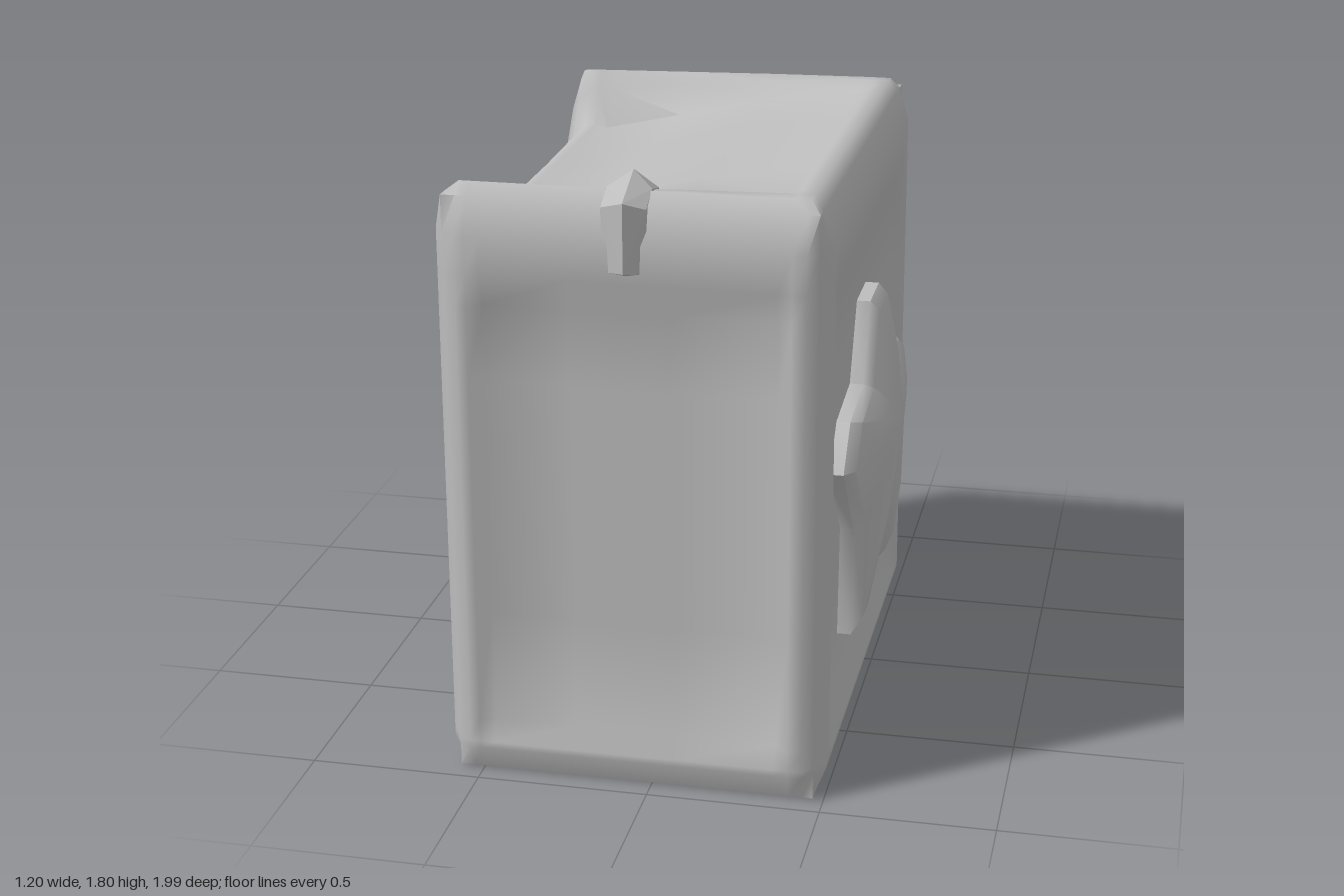
import * as THREE from 'three';
import { toCreasedNormals } from 'three/addons/utils/BufferGeometryUtils.js';
import { ConvexGeometry } from 'three/addons/geometries/ConvexGeometry.js';

const grey = new THREE.MeshStandardMaterial({ color: 0xbcbcbc });
grey.name = 'plainGrey';

function surface(positions, crease) {
  const geo = new THREE.BufferGeometry();
  geo.setAttribute('position', new THREE.Float32BufferAttribute(positions, 3));
  return toCreasedNormals(geo, crease);
}

function add(parent, name, geo) {
  const mesh = new THREE.Mesh(geo, grey);
  mesh.name = name;
  parent.add(mesh);
  return mesh;
}

// Grid lines of the box along x, y and z; the first four from each end shape the rounded frame
const LINES = [
  [-0.57, -0.53, -0.5, -0.46, -0.22, 0.07, 0.36, 0.4, 0.44, 0.47],
  [0.005, 0.08, 0.1, 0.16, 0.5, 0.9, 1.2, 1.42, 1.51, 1.62, 1.725],
  [-0.615, -0.57, -0.53, -0.46, -0.1, 0.2, 0.5, 0.79, 0.84, 0.89, 0.935],
];
const BOUNDS = [[-0.6, 0.5], [0, 1.755], [-0.645, 0.965]];

// The lid sags and slopes down towards the right side, between the front and back bars
function sag(p) {
  const across = THREE.MathUtils.clamp((0.25 - p[0]) / 0.85, 0, 1);
  const along = THREE.MathUtils.smoothstep(p[2], -0.6, -0.44)
    * (1 - THREE.MathUtils.smoothstep(p[2], 0.72, 0.88));
  const up = THREE.MathUtils.clamp((p[1] - 1.3) / 0.4, 0, 1);
  p[1] -= 0.2 * across * along * up;
  return p;
}

// One side of the box: a rounded frame around a panel set back by the recess
function boxFace(axis, sign, recess) {
  const u = (axis + 1) % 3, v = (axis + 2) % 3;
  const U = LINES[u], V = LINES[v], N = LINES[axis];
  const bound = BOUNDS[axis][sign > 0 ? 1 : 0];
  const corner = sign > 0 ? N[N.length - 1] : N[0];
  const point = (i, j) => {
    const ring = Math.min(i, j, U.length - 1 - i, V.length - 1 - j);
    const p = [0, 0, 0];
    p[u] = U[i];
    p[v] = V[j];
    p[axis] = ring === 0 ? corner : ring < 3 ? bound : bound - sign * recess;
    return sag(p);
  };
  const out = [];
  for (let i = 0; i < U.length - 1; i++) {
    for (let j = 0; j < V.length - 1; j++) {
      const a = point(i, j), b = point(i + 1, j), c = point(i + 1, j + 1), d = point(i, j + 1);
      const tris = sign > 0 ? [a, b, c, a, c, d] : [a, c, b, a, d, c];
      out.push(...tris.flat());
    }
  }
  return out;
}

function boxBody() {
  const sides = [
    [0, 1, 0.035], [0, -1, 0], [1, 1, 0.02], [1, -1, 0], [2, 1, 0.03], [2, -1, 0.035],
  ];
  return surface(sides.flatMap((s) => boxFace(...s)), 0.95);
}

// Puffed star: outline as z, y pairs, rising over a shoulder to a central peak
function starGeometry() {
  const outline = [
    [0.23, 1.27], [0.06, 1.275], [0, 1.14], [-0.07, 1.04], [-0.24, 1.02], [-0.38, 0.95], [-0.36, 0.83],
    [-0.18, 0.64], [-0.21, 0.32], [-0.01, 0.34], [0.14, 0.42], [0.38, 0.31], [0.5, 0.32], [0.48, 0.65],
    [0.69, 0.9], [0.58, 1.02], [0.34, 1.05],
  ];
  const centre = [0.14, 0.88];
  const level = (x, k) => outline.map(([z, y]) => [
    x, centre[1] + (y - centre[1]) * k, centre[0] + (z - centre[0]) * k,
  ]);
  const rings = [level(0.45, 1), level(0.505, 1), level(0.535, 0.92), level(0.575, 0.5)];
  const peak = [0.602, centre[1], centre[0]];
  const out = [];
  for (let i = 0; i < outline.length; i++) {
    const n = (i + 1) % outline.length;
    for (let r = 0; r < rings.length - 1; r++) {
      const o = rings[r], q = rings[r + 1];
      out.push(...[q[i], q[n], o[n], q[i], o[n], o[i]].flat());
    }
    const top = rings[rings.length - 1];
    out.push(...peak, ...top[n], ...top[i]);
  }
  return surface(out, 0.8);
}

// Ridge-shaped latch wrapped over the front bar
function latchGeometry() {
  const points = [
    [-0.05, 1.53, 0.95], [-0.05, 1.55, 0.998], [-0.05, 1.745, 0.998], [-0.05, 1.805, 0.86], [-0.05, 1.75, 0.77],
  ];
  for (const x of [-0.12, 0.005]) {
    points.push([x, 1.54, 0.95], [x, 1.72, 0.955], [x, 1.758, 0.88], [x, 1.74, 0.8]);
  }
  return new ConvexGeometry(points.map((p) => new THREE.Vector3(...p)));
}

// Straight four-sided rod between two points
function rod(parent, name, from, to, r0, r1) {
  const a = new THREE.Vector3(...from), b = new THREE.Vector3(...to);
  const dir = b.clone().sub(a);
  const geo = new THREE.CylinderGeometry(r1, r0, dir.length(), 4).toNonIndexed();
  geo.computeVertexNormals();
  const mesh = add(parent, name, geo);
  mesh.position.copy(a).add(b).multiplyScalar(0.5);
  mesh.quaternion.setFromUnitVectors(new THREE.Vector3(0, 1, 0), dir.normalize());
}

export function createModel() {
  const model = new THREE.Group();
  model.name = 'crankBox';
  add(model, 'boxBody', boxBody());
  add(model, 'sideStar', starGeometry());
  add(model, 'frontLatch', latchGeometry());

  // Crank on the back
  const crank = new THREE.Group();
  crank.name = 'crank';
  model.add(crank);
  rod(crank, 'crankFlare', [0.08, 0.79, -0.6], [0.08, 0.785, -0.66], 0.07, 0.02);
  rod(crank, 'crankAxle', [0.08, 0.785, -0.65], [0.07, 0.77, -0.74], 0.02, 0.02);
  rod(crank, 'crankArm', [0.07, 0.78, -0.73], [0.01, 0.45, -0.75], 0.02, 0.018);
  rod(crank, 'handleStem', [0.015, 0.45, -0.745], [-0.06, 0.45, -0.84], 0.025, 0.04);
  const knob = add(crank, 'crankKnob',
    toCreasedNormals(new THREE.SphereGeometry(0.13, 7, 4).rotateX(Math.PI / 2), 0.7));
  knob.scale.set(0.95, 0.95, 1.12);
  knob.position.set(-0.07, 0.45, -0.86);
  knob.rotation.y = 0.35;
  return model;
}
